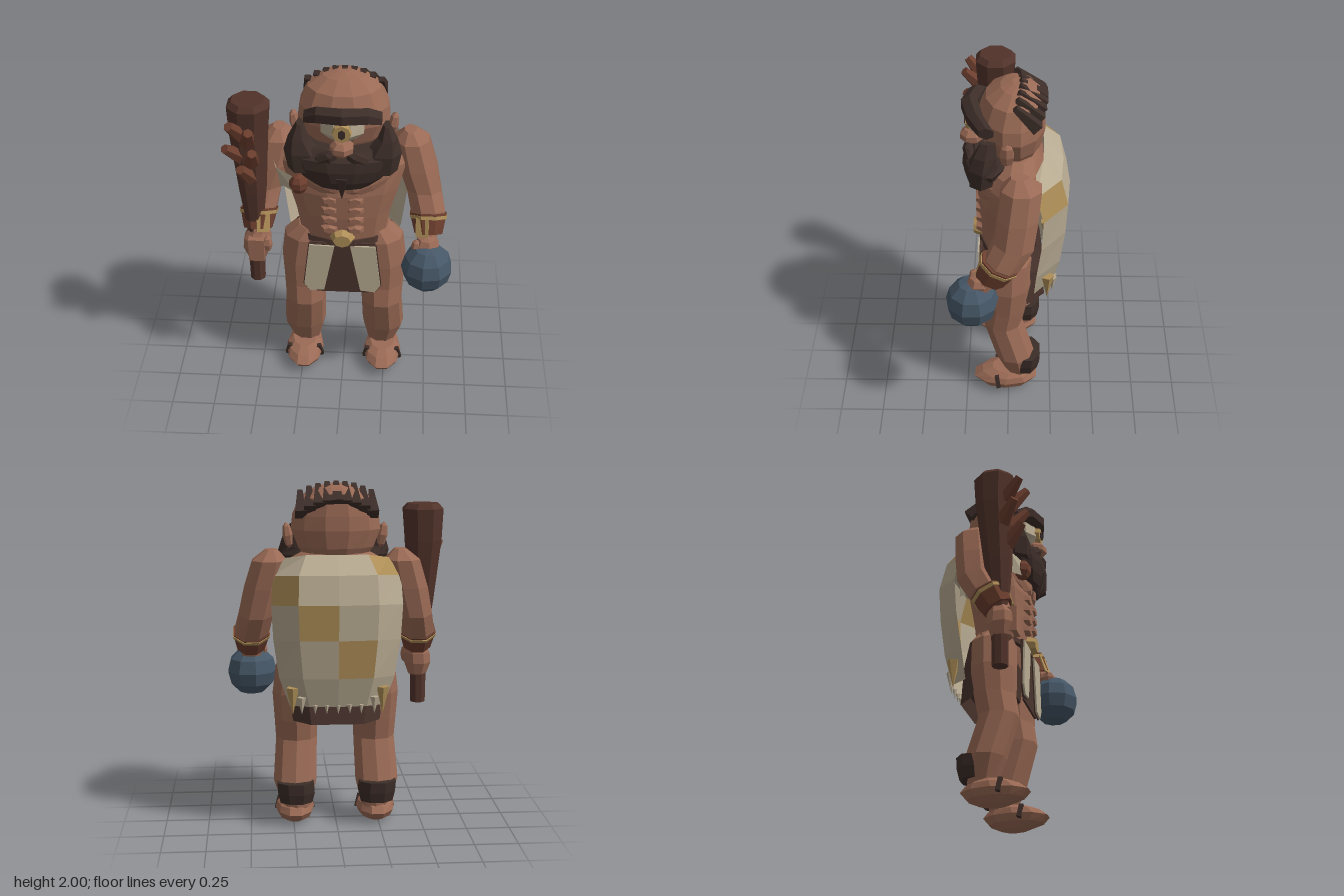
import * as THREE from 'three';

const mat = (name, color, open) => {
  const m = new THREE.MeshStandardMaterial({ color });
  m.name = name;
  if (open) m.side = THREE.DoubleSide;
  return m;
};

export function createModel() {
  const skin = mat('skin', 0x9a6a55), hair = mat('darkHair', 0x3c2d28), wood = mat('wood', 0x51332a);
  const leather = mat('leather', 0x6d3f2f), cloth = mat('darkCloth', 0x4a342d, true);
  const cream = mat('creamHide', 0xb8ab92, true), gold = mat('gold', 0xaf8f58, true);
  const steel = mat('steel', 0x465767);
  const root = new THREE.Group();

  // Adds a faceted mesh
  function add(name, geo, material, x = 0, y = 0, z = 0, rx = 0, ry = 0, rz = 0) {
    const g = geo.index ? geo.toNonIndexed() : geo;
    g.computeVertexNormals();
    const m = new THREE.Mesh(g, material);
    m.name = name;
    m.position.set(x, y, z);
    m.rotation.set(rx, ry, rz);
    root.add(m);
  }
  function buffer(pos, idx) {
    const g = new THREE.BufferGeometry();
    g.setAttribute('position', new THREE.Float32BufferAttribute(pos, 3));
    g.setIndex(idx);
    return g;
  }
  // Closed solid from elliptic rings [x, y, z, rx, rz, tilt]
  function loft(rings, n = 8) {
    const r = rings[0][1] > rings[rings.length - 1][1] ? [...rings].reverse() : rings;
    const pos = [], idx = [], top = (r.length - 1) * n;
    for (const [x, y, z, rx, rz, tilt = 0] of r)
      for (let i = 0; i < n; i++) {
        const a = ((i + 0.5) / n) * Math.PI * 2, c = Math.cos(a) * rz;
        pos.push(x + Math.sin(a) * rx, y + tilt * c, z + c);
      }
    for (let k = 0; k < r.length - 1; k++)
      for (let i = 0; i < n; i++) {
        const a = k * n + i, b = k * n + ((i + 1) % n);
        idx.push(a, b, b + n, a, b + n, a + n);
      }
    for (let i = 1; i < n - 1; i++) idx.push(0, i + 1, i, top, top + i, top + i + 1);
    return buffer(pos, idx);
  }
  // Open sheet from rows of points, keeping the cells chosen by pick
  function sheet(rows, pick = () => true) {
    const n = rows[0].length, idx = [];
    for (let r = 0; r < rows.length - 1; r++)
      for (let c = 0; c < n - 1; c++) {
        const a = r * n + c;
        if (pick(r, c)) idx.push(a, a + 1, a + n + 1, a, a + n + 1, a + n);
      }
    return buffer(rows.flat(2), idx);
  }
  const box = (w, h, d) => new THREE.BoxGeometry(w, h, d);
  const blob = (w, h, d, n = 8, m = 5) => new THREE.SphereGeometry(1, n, m).scale(w, h, d);
  const cone = (r, h, n = 5) => new THREE.ConeGeometry(r, h, n);
  const plate = (pts, depth) => new THREE.ExtrudeGeometry(
    new THREE.Shape(pts.map(p => new THREE.Vector2(...p))), { depth, bevelEnabled: false });

  // Torso and neck
  add('torso', loft([[0, 0.86, 0, 0.24, 0.11], [0, 1, 0.01, 0.25, 0.15], [0, 1.15, 0.01, 0.275, 0.165],
    [0, 1.3, 0, 0.32, 0.18], [0, 1.45, -0.02, 0.36, 0.18], [0, 1.53, -0.04, 0.33, 0.15],
    [0, 1.6, -0.05, 0.2, 0.11]], 12), skin);
  add('neck', loft([[0, 1.52, -0.03, 0.18, 0.13], [0, 1.68, -0.02, 0.15, 0.13]]), skin);
  for (const s of [-1, 1]) {
    add('chestMuscle', blob(0.15, 0.08, 0.03), skin, s * 0.145, 1.4, 0.137, 0, s * 0.35, s * 0.3);
    for (let i = 0; i < 4; i++)
      add('abdomenMuscle', new THREE.CylinderGeometry(0.035, 0.058, 0.03, 6).scale(1, 1, 0.55), skin,
        s * 0.072, 1.08 + i * 0.066, 0.17, Math.PI / 2, 0, 0);
  }

  // Legs, feet and ankle hair
  for (const s of [-1, 1]) {
    const x = s * 0.24;
    add('leg', loft([[s * 0.23, 0.1, -0.06, 0.08, 0.075], [x, 0.26, -0.035, 0.127, 0.115],
      [s * 0.228, 0.5, 0.035, 0.122, 0.115], [s * 0.23, 0.62, 0.015, 0.127, 0.118],
      [s * 0.23, 0.78, 0.005, 0.138, 0.132], [s * 0.205, 0.95, 0, 0.142, 0.13],
      [s * 0.18, 1.02, 0, 0.085, 0.1]], 9), skin);
    add('foot', loft([[x, 0, 0.01, 0.06, 0.08], [x, 0.03, 0.02, 0.1, 0.16],
      [x, 0.07, 0.02, 0.115, 0.195], [x, 0.105, 0.01, 0.105, 0.155], [x, 0.13, 0, 0.075, 0.1]], 10), skin);
    add('ankleHair', loft([[s * 0.235, 0.14, -0.1, 0.1, 0.075], [s * 0.235, 0.2, -0.105, 0.115, 0.085],
      [s * 0.24, 0.265, -0.105, 0.115, 0.088]]), hair);
    for (const t of [-1, 1])
      add('footTuft', box(0.035, 0.08, 0.025), hair, x + t * 0.093, 0.08, 0.065, 0.15, 0, t * 0.25);
  }

  // Arms with cuffs
  for (const s of [-1, 1]) {
    const arm = (...r) => r.map(([x, ...rest]) => [s * x, ...rest]);
    add('arm', loft(arm([0.365, 1.62, -0.06, 0.035, 0.05], [0.375, 1.56, -0.07, 0.105, 0.115],
      [0.415, 1.4, -0.05, 0.115, 0.12], [0.455, 1.25, -0.03, 0.105, 0.115, 0.2],
      [0.48, 1.14, 0.03, 0.105, 0.095, 0.45], [0.485, 1.04, 0.1, 0.065, 0.06, 0.5])), skin);
    add('cuff', loft(arm([0.482, 1.135, 0.045, 0.113, 0.1, 0.5], [0.487, 1.03, 0.1, 0.085, 0.08, 0.5])), leather);
    add('cuffTrim', loft(arm([0.483, 1.125, 0.05, 0.115, 0.103, 0.5], [0.484, 1.108, 0.06, 0.11, 0.1, 0.5])), gold);
    add('cuffPanel', box(0.075, 0.11, 0.008), gold, s * 0.45, 1.1, 0.155, -0.3, -s * 0.25, 0);
    add('wrist', loft(arm([0.48, 1.07, 0.1, 0.06, 0.055], [0.485, 0.97, 0.14, 0.06, 0.055])), skin);
  }

  // Steel ball under the left hand
  add('ball', new THREE.SphereGeometry(0.148, 9, 6), steel, 0.485, 0.865, 0.2);
  add('leftHand', blob(0.075, 0.05, 0.07, 7, 4), skin, 0.48, 1, 0.16);
  add('leftThumb', blob(0.03, 0.04, 0.035, 6, 4), skin, 0.42, 0.995, 0.185);

  // Right hand and knobbed club
  add('rightHand', loft([[-0.495, 0.85, 0.12, 0.055, 0.06], [-0.495, 0.92, 0.12, 0.082, 0.085],
    [-0.49, 0.98, 0.12, 0.082, 0.085], [-0.485, 1.03, 0.11, 0.06, 0.06]]), skin);
  for (let i = 0; i < 4; i++) add('rightFinger', box(0.09, 0.036, 0.05), skin, -0.49, 0.885 + i * 0.036, 0.185);
  add('thumb', blob(0.03, 0.055, 0.035, 6, 4), skin, -0.43, 0.96, 0.16);
  add('club', loft([[-0.5, 0.68, 0.11, 0.045, 0.045], [-0.5, 1.05, 0.11, 0.05, 0.05],
    [-0.505, 1.3, 0.1, 0.08, 0.08], [-0.515, 1.65, 0.085, 0.11, 0.11],
    [-0.512, 1.83, 0.085, 0.122, 0.122], [-0.512, 1.86, 0.085, 0.095, 0.095]]), wood);
  for (const [x, y, z, rz] of [[-0.575, 1.73, 0.2, 0.35], [-0.505, 1.7, 0.215, -0.15], [-0.595, 1.58, 0.18, 0.5],
    [-0.53, 1.46, 0.2, 0.25], [-0.49, 1.57, 0.21, -0.15]])
    add('clubKnob', new THREE.CylinderGeometry(0.026, 0.05, 0.15, 6), leather, x, y, z, 0.75, 0, rz);

  // Head, ears and nose
  add('head', loft([[0, 1.54, -0.02, 0.15, 0.12], [0, 1.63, -0.02, 0.22, 0.16], [0, 1.73, -0.015, 0.26, 0.185],
    [0, 1.81, -0.015, 0.25, 0.185], [0, 1.91, -0.03, 0.205, 0.16], [0, 1.965, -0.04, 0.12, 0.09],
    [0, 1.985, -0.05, 0.04, 0.035]], 12), skin);
  for (const s of [-1, 1]) add('ear', blob(0.03, 0.075, 0.045, 6, 4), skin, s * 0.27, 1.69, 0.01, 0, 0, -s * 0.15);
  add('nose', blob(0.07, 0.05, 0.07, 7, 5), skin, 0, 1.645, 0.205);
  add('noseBridge', box(0.06, 0.08, 0.06), skin, 0, 1.67, 0.18);

  // Single eye and brow
  add('eyeWhite', loft([[0, 1.68, 0.14, 0.08, 0.06], [0, 1.72, 0.14, 0.125, 0.085],
    [0, 1.79, 0.14, 0.125, 0.075]], 8), cream);
  add('iris', new THREE.CylinderGeometry(0.05, 0.056, 0.03, 8), gold, 0, 1.745, 0.222, Math.PI / 2);
  add('pupil', new THREE.CylinderGeometry(0.022, 0.022, 0.008, 6).scale(1, 1, 1.3), hair, 0, 1.745, 0.24, Math.PI / 2);
  add('brow', loft([[-1.785, -0.21, 0.12, 0.035, 0.045], [-1.83, -0.14, 0.18, 0.05, 0.05],
    [-1.84, 0, 0.215, 0.052, 0.052], [-1.83, 0.14, 0.18, 0.05, 0.05],
    [-1.785, 0.21, 0.12, 0.035, 0.045]], 6).rotateZ(-Math.PI / 2), hair);

  // Beard, sideburns, moustache and chin point
  add('beard', loft([[0, 1.39, 0.16, 0.15, 0.07], [0, 1.44, 0.15, 0.22, 0.1], [0, 1.51, 0.13, 0.28, 0.13],
    [0, 1.57, 0.12, 0.32, 0.13], [0, 1.615, 0.1, 0.29, 0.09]], 12), hair);
  add('chinPoint', cone(0.05, 0.15, 5), hair, 0, 1.4, 0.22, Math.PI);
  for (const s of [-1, 1]) {
    add('sideburn', loft([[s * 0.22, 1.48, 0.15, 0.08, 0.07], [s * 0.222, 1.59, 0.14, 0.1, 0.085],
      [s * 0.242, 1.67, 0.125, 0.055, 0.07], [s * 0.236, 1.745, 0.11, 0.018, 0.045]], 6), hair);
    add('moustache', blob(0.09, 0.04, 0.035, 6, 4), hair, s * 0.095, 1.58, 0.215, 0, s * 0.3, -s * 0.55);
  }

  // Fringe of pointed locks round the back of the head
  for (let i = -4; i <= 4; i++) {
    const k = (i / 4) ** 2;
    add('hairLock', new THREE.CylinderGeometry(0.02, 0.046, 0.17, 4, 1, false, Math.PI / 4), hair,
      i * 0.05, 1.935 - 0.055 * k, -0.122 + 0.03 * k, 0.88 - 0.08 * k);
  }

  // Hide cloak with patches
  const cols = [[-1, 0.15], [-0.6, 0.015], [0, 0], [0.6, 0.015], [1, 0.15]];
  const rows = [[1.6, -0.19, 0.29, 0.3], [1.5, -0.3, 0.36, 1], [1.34, -0.34, 0.37, 1], [1.14, -0.33, 0.36, 1],
    [0.92, -0.305, 0.33, 1], [0.75, -0.265, 0.27, 0.8]]
    .map(([y, z, w, b]) => cols.map(([u, d]) => [u * w, y - (Math.abs(u) === 1 ? 0.02 : 0), z + d * b]));
  const patch = (r, c) => [[0, 0], [1, 3], [2, 2], [3, 1]].some(p => p[0] === r && p[1] === c);
  add('cloak', sheet(rows, (r, c) => !patch(r, c)), cream);
  add('cloakPatches', sheet(rows, patch), gold);
  add('cloakStrap', sheet([[[-0.37, 1.46, -0.15], [-0.36, 1.2, -0.16]], [[-0.4, 1.46, 0.02], [-0.36, 1.26, 0.02]],
    [[-0.37, 1.46, 0.13], [-0.33, 1.34, 0.13]], [[-0.25, 1.43, 0.19], [-0.25, 1.34, 0.2]]]), cream);
  add('clasp', blob(0.055, 0.06, 0.05, 7, 5), leather, -0.24, 1.39, 0.18);

  // Claws along the cloak hem
  for (const s of [-1, 1]) {
    add('claw', cone(0.038, 0.16), gold, s * 0.255, 0.775, -0.22, Math.PI);
    add('claw', cone(0.026, 0.1), cream, s * 0.205, 0.755, -0.25, Math.PI);
  }
  for (let i = -2; i <= 2; i++) add('smallClaw', cone(0.014, 0.055, 4), cream, i * 0.065, 0.735, -0.265, Math.PI);

  // Loincloth, belt and buckle
  add('belt', loft([[0, 0.965, 0.01, 0.265, 0.165], [0, 1, 0.01, 0.26, 0.16]], 12), cloth);
  add('frontCloth', plate([[-0.15, 0.625], [0.15, 0.625], [0.19, 0.98], [-0.19, 0.98]], 0.012), cloth, 0, 0, 0.15);
  for (const s of [-1, 1]) {
    const flap = [[0.045, 0.965], [0.19, 0.97], [0.222, 0.69], [0.19, 0.64], [0.105, 0.65]];
    add('creamFlap', plate(flap.map(([x, y]) => [s * x, y]), 0.012), cream, 0, 0, 0.166);
    const edge = [[0.04, 0.97], [0.195, 0.975], [0.228, 0.687], [0.193, 0.633], [0.1, 0.643]];
    add('flapBorder', plate(edge.map(([x, y]) => [s * x, y]), 0.008), cloth, 0, 0, 0.16);
  }
  const backRow = (y, w, z) => [[-w, y, z + 0.1], [-w * 0.6, y, z], [w * 0.6, y, z], [w, y, z + 0.1]];
  add('backCloth', sheet([backRow(1, 0.28, -0.15), backRow(0.85, 0.29, -0.18), backRow(0.63, 0.25, -0.205)]), cloth);
  add('innerCloth', loft([[0, 0.7, -0.04, 0.17, 0.14], [0, 0.95, 0, 0.2, 0.13]]), cloth);
  add('buckle', new THREE.CylinderGeometry(0.05, 0.073, 0.05, 8).scale(1, 1, 0.8), gold, 0, 1.02, 0.18, Math.PI / 2);

  return root;
}
